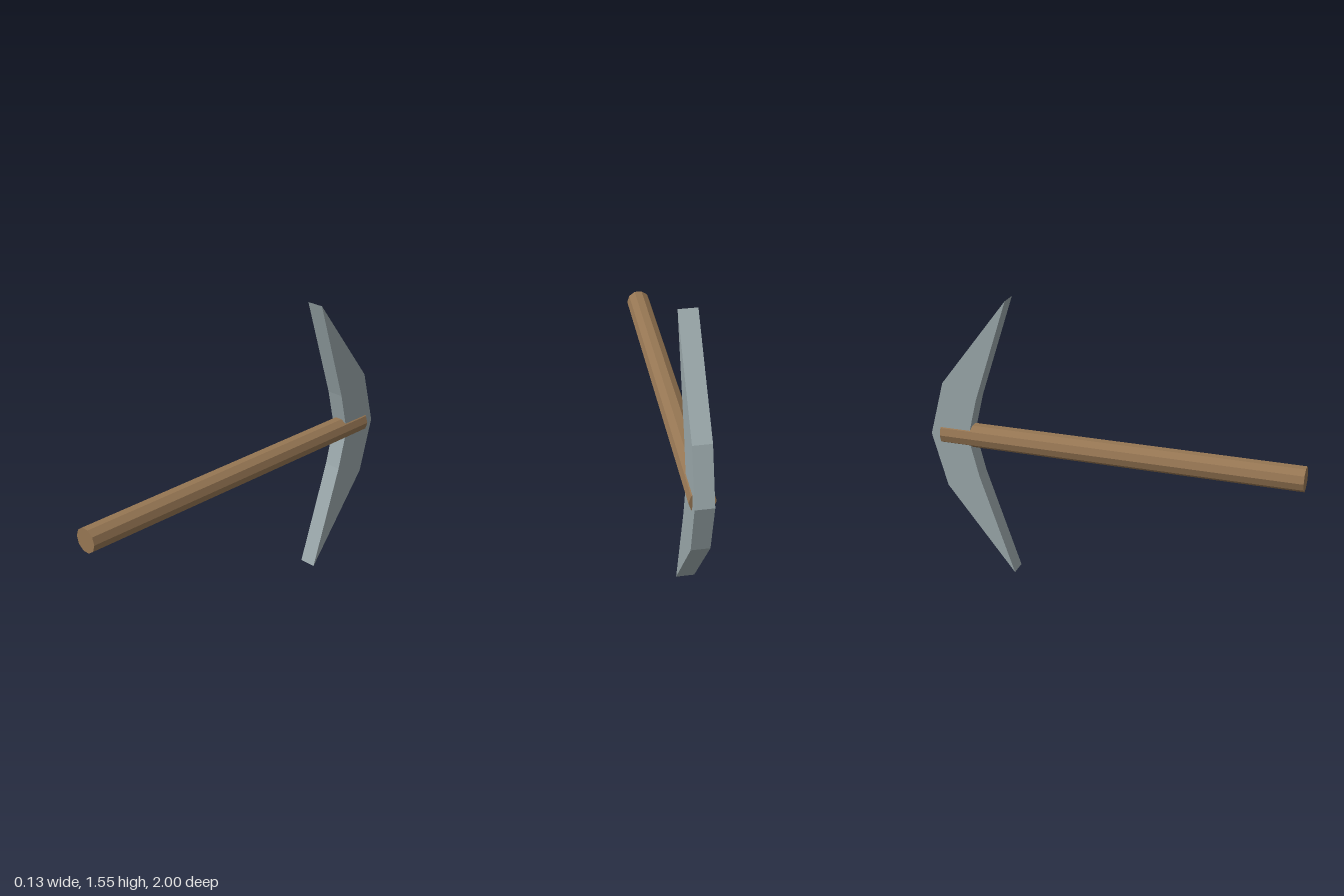
import * as THREE from 'three';

export function createModel() {
  const group = new THREE.Group();
  const wood = new THREE.MeshStandardMaterial({ color: 0x967653, flatShading: true });
  wood.name = 'wood';
  const steel = new THREE.MeshStandardMaterial({ color: 0x9aa7aa, flatShading: true });
  steel.name = 'steel';

  const midY = 0.775;

  // Ten-sided handle lying along z, with a ridge at each side
  const back = -0.945, front = 1, radius = 0.065;
  const handleGeo = new THREE.CylinderGeometry(radius, radius, front - back, 10, 1, false, Math.PI / 2);
  handleGeo.rotateX(Math.PI / 2);
  const handle = new THREE.Mesh(handleGeo, wood);
  handle.name = 'handle';
  handle.position.set(0, midY, (front + back) / 2);
  group.add(handle);

  // Curved pick head: profile as [distance back, height from the middle], mirrored about the handle
  const outer = [[0.548, 0.775], [0.92, 0.295]];
  const inner = [[0.733, 0.22]];
  const flip = ([d, h]) => [d, -h];
  const profile = [
    ...outer, [1, 0], ...outer.map(flip).reverse(),
    ...inner.map(flip), [0.787, 0], ...inner,
  ];
  const thickness = 0.094;
  const headGeo = new THREE.ExtrudeGeometry(
    new THREE.Shape(profile.map(([d, h]) => new THREE.Vector2(d, h))),
    { depth: thickness, bevelEnabled: false }
  );
  headGeo.translate(0, 0, -thickness / 2);
  headGeo.rotateY(Math.PI / 2);
  const head = new THREE.Mesh(headGeo, steel);
  head.name = 'pickHead';
  head.position.y = midY;
  group.add(head);

  return group;
}
